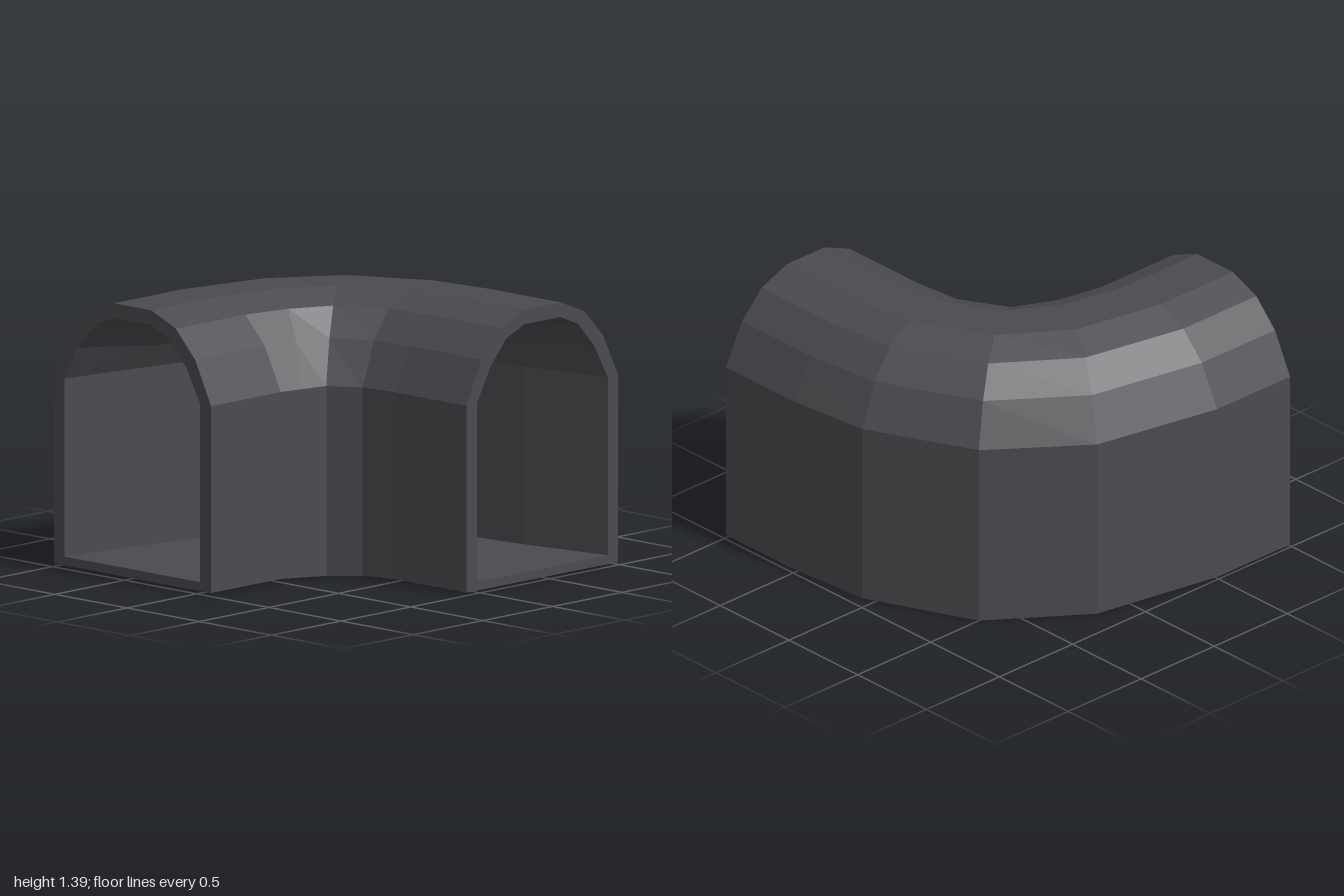
import * as THREE from 'three';

// Half-arch sections as [distance from centre line, height], floor to crown
const OUTER = [[0.545, 0.02], [0.545, 0.97], [0.435, 1.19], [0.3, 1.33], [0.13, 1.4]];
const RIM = [[0.47, 0.065], [0.47, 0.97], [0.375, 1.14], [0.26, 1.27], [0.13, 1.325]];
const BORE = [[0.38, 0.065], [0.38, 0.97], [0.31, 1.09], [0.22, 1.19], [0.12, 1.24]];

// Stations round the bend: far side [x, z], near side [x, z], drop of the base
const STATIONS = [
  { far: [-1, 0.99], near: [0.09, 0.99], drop: 0 },
  { far: [-1, 0.49], near: [0.09, 0.49], drop: 0 },
  { far: [-0.86, -0.2], near: [0.115, 0.36], drop: 0.008 },
  { far: [-0.5, -0.67], near: [0.145, 0.22], drop: 0.015 },
  { far: [0.06, -0.94], near: [0.3, 0.12], drop: 0.008 },
  { far: [0.5, -0.99], near: [0.5, 0.1], drop: 0 },
  { far: [1, -0.99], near: [1, 0.1], drop: 0 },
];

// Place a mirrored half section at a station, giving a closed ring of points
function ring(half, station) {
  const full = [...half.map(([s, y]) => [-s, y]), ...[...half].reverse()];
  return full.map(([s, y]) => {
    const t = (s + 0.545) / 1.09;
    const x = THREE.MathUtils.lerp(station.far[0], station.near[0], t);
    const z = THREE.MathUtils.lerp(station.far[1], station.near[1], t);
    return new THREE.Vector3(x, y < 0.05 ? y - station.drop : y, z);
  });
}

// Join successive rings with flat-faced quads
function loft(rings, flip = false) {
  const points = [];
  for (let i = 0; i < rings.length - 1; i++) {
    const n = rings[i].length;
    for (let j = 0; j < n; j++) {
      const k = (j + 1) % n;
      const a = rings[i][j], b = rings[i + 1][j], c = rings[i + 1][k], d = rings[i][k];
      points.push(...(flip ? [a, c, d, a, b, c] : [a, d, c, a, c, b]));
    }
  }
  const geometry = new THREE.BufferGeometry().setFromPoints(points);
  geometry.computeVertexNormals();
  return geometry;
}

export function createModel() {
  const group = new THREE.Group();
  group.name = 'curvedTunnel';
  const stone = new THREE.MeshStandardMaterial({ color: 0x4b4a4f, flatShading: true });
  stone.name = 'dark grey';

  const add = (name, geometry) => {
    const mesh = new THREE.Mesh(geometry, stone);
    mesh.name = name;
    group.add(mesh);
  };

  const last = STATIONS.length - 1;
  const outer = STATIONS.map((s) => ring(OUTER, s));
  // The passage is widest at both mouths and narrows inside the bend
  const inner = STATIONS.map((s, i) => ring(i === 0 || i === last ? RIM : BORE, s));

  add('outerShell', loft(outer));
  add('innerPassage', loft(inner, true));
  add('frontRim', loft([outer[0], inner[0]], true));
  add('sideRim', loft([outer[last], inner[last]]));
  return group;
}
